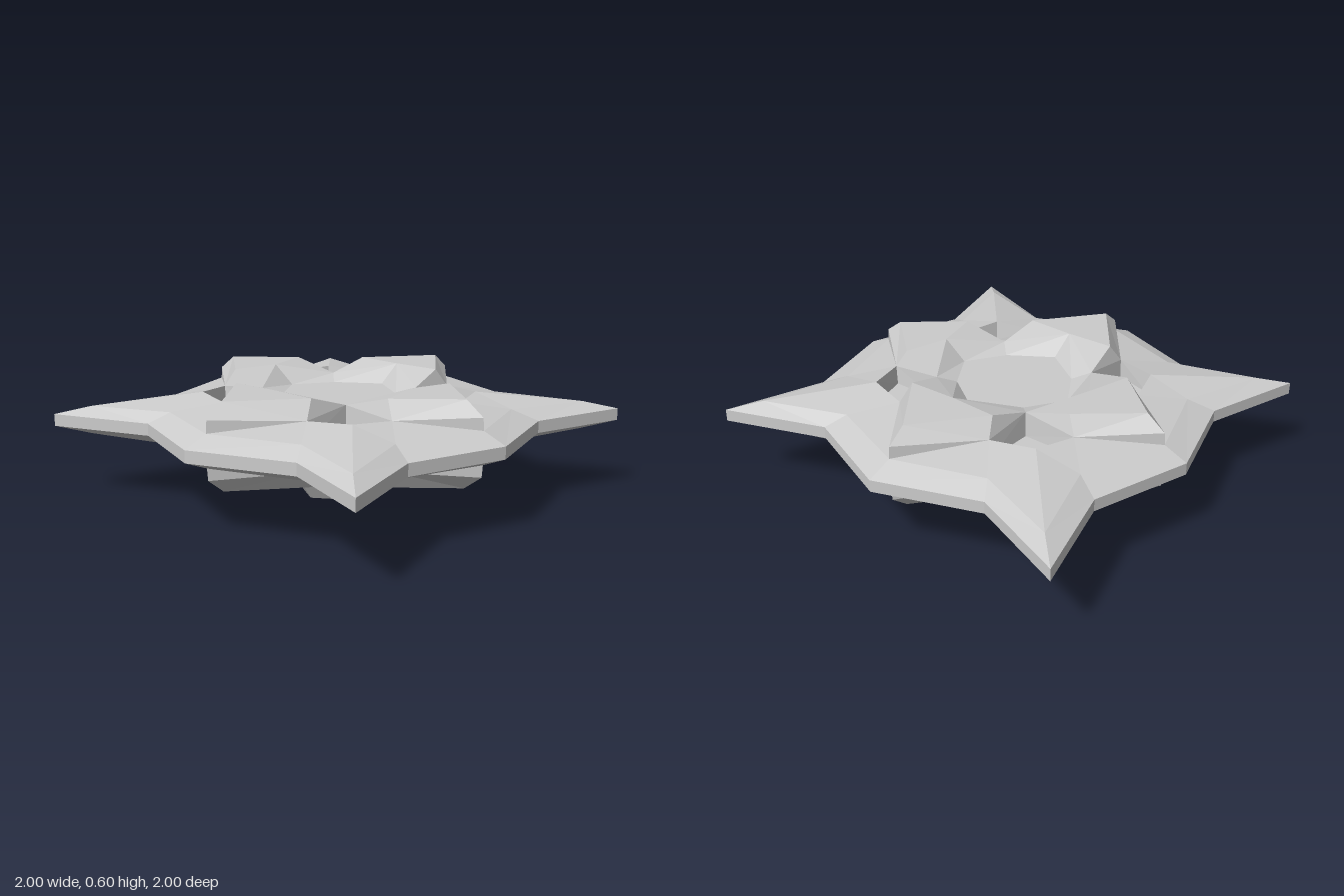
import * as THREE from 'three';

const MID = 0.39; // height of the mirror plane between upper and lower halves

// Corner points of one upper quadrant (+x, +z)
const P = {
  // rim outline
  rimX: [1, 0.42, 0], notchX: [0.81, 0.42, 0.5], spike: [1, 0.42, 1], notchZ: [0.5, 0.42, 0.85], rimZ: [0, 0.42, 1],
  // shoulder just inside the rim
  footX: [0.875, 0.47, 0], shX: [0.72, 0.47, 0.44], ridge: [0.87, 0.46, 0.87], shZ: [0.44, 0.47, 0.73], footZ: [0, 0.47, 0.88],
  // pit mouth
  pitX: [0.52, 0.51, 0.28], pitOut: [0.46, 0.52, 0.5], pitZ: [0.26, 0.51, 0.56], pitIn: [0.26, 0.54, 0.28],
  // pit floor
  lowX: [0.51, 0.42, 0.29], lowOut: [0.45, 0.42, 0.49], lowZ: [0.27, 0.42, 0.545], lowIn: [0.27, 0.42, 0.29],
  // raised arms
  noseX: [0.87, 0.53, 0], tipX: [0.78, 0.6, 0], armX: [0.46, 0.6, 0.25],
  noseZ: [0, 0.53, 0.875], tipZ: [0, 0.6, 0.78], armZ: [0.23, 0.6, 0.51],
  // recess in the top
  ringX: [0.45, 0.6, 0], ringZ: [0, 0.6, 0.45],
  bedX: [0.33, 0.51, 0], bedD: [0.19, 0.51, 0.21], bedZ: [0, 0.51, 0.33], bedC: [0, 0.51, 0],
  // hub on the underside, given as if it were on top
  hubX: [0.3, 0.63, 0], hubD: [0.17, 0.58, 0.18], hubZ: [0, 0.63, 0.3],
  endX: [0.21, 0.765, 0], endD: [0.125, 0.765, 0.135], endZ: [0, 0.765, 0.21], endC: [0, 0.78, 0],
};

const hull = [
  'rimX footX shX', 'rimX shX notchX', 'notchX shX ridge', 'notchX ridge spike',
  'spike ridge notchZ', 'ridge shZ notchZ', 'notchZ shZ rimZ', 'shZ footZ rimZ',
  'footX pitX shX', 'pitX pitOut shX', 'shX pitOut ridge',
  'ridge pitOut shZ', 'pitOut pitZ shZ', 'pitZ footZ shZ',
];
const pits = [
  'pitX pitOut lowOut lowX', 'pitOut pitZ lowZ lowOut', 'pitZ pitIn lowIn lowZ',
  'pitIn pitX lowX lowIn', 'lowX lowOut lowZ lowIn',
];
const armSides = [
  'noseX footX pitX', 'tipX noseX pitX armX', 'armX pitX pitIn',
  'noseZ footZ pitZ', 'tipZ noseZ pitZ armZ', 'armZ pitZ pitIn',
];
const upperArms = [...armSides, 'tipX armX ringX', 'armX pitIn ringX', 'tipZ armZ ringZ', 'armZ pitIn ringZ'];
const lowerArms = [
  ...armSides, 'tipX armX hubX', 'armX pitIn hubX', 'pitIn hubD hubX',
  'tipZ armZ hubZ', 'armZ pitIn hubZ', 'pitIn hubD hubZ',
];
const recess = [
  'ringX pitIn bedD bedX', 'pitIn ringZ bedZ bedD', 'bedC bedX bedD', 'bedC bedD bedZ',
];
const hub = [
  'hubX hubD endD endX', 'hubD hubZ endZ endD', 'endC endX endD', 'endC endD endZ',
];

const material = new THREE.MeshStandardMaterial({ color: 0xcccccc, flatShading: true });

// Adds a triangle to all four quadrants, reversing its order where mirrored
function mirrorTriangle(out, tri, sy) {
  for (const sx of [1, -1]) for (const sz of [1, -1]) {
    const order = sx * sy * sz > 0 ? [0, 1, 2] : [0, 2, 1];
    for (const i of order) {
      const p = tri[i];
      out.push(sx * p[0], MID + sy * (p[1] - MID), sz * p[2]);
    }
  }
}

function makeMesh(name, positions) {
  const geometry = new THREE.BufferGeometry();
  geometry.setAttribute('position', new THREE.Float32BufferAttribute(positions, 3));
  geometry.computeVertexNormals();
  const mesh = new THREE.Mesh(geometry, material);
  mesh.name = name;
  return mesh;
}

// Builds a part from quadrant polygons; side is 1 for upper, -1 for lower
function facetPart(name, polygons, side) {
  const out = [];
  for (const polygon of polygons) {
    const pts = polygon.split(' ').map((key) => P[key]);
    for (let i = 1; i < pts.length - 1; i++) {
      const [a, b, c] = [pts[0], pts[i], pts[i + 1]];
      // every facet faces away from the mid plane
      const ny = (b[2] - a[2]) * (c[0] - a[0]) - (b[0] - a[0]) * (c[2] - a[2]);
      mirrorTriangle(out, ny >= 0 ? [a, b, c] : [a, c, b], side);
    }
  }
  return makeMesh(name, out);
}

// Upright band around the star-shaped outline
function rimBand() {
  const out = [];
  const path = ['rimX', 'notchX', 'spike', 'notchZ', 'rimZ'].map((key) => P[key]);
  const lower = ([x, y, z]) => [x, 2 * MID - y, z];
  for (let i = 0; i < path.length - 1; i++) {
    const a = path[i], b = path[i + 1];
    mirrorTriangle(out, [a, b, lower(b)], 1);
    mirrorTriangle(out, [a, lower(b), lower(a)], 1);
  }
  return makeMesh('rim', out);
}

export function createModel() {
  const group = new THREE.Group();
  group.name = 'starShapedCraft';
  group.add(
    rimBand(),
    facetPart('upperHull', hull, 1),
    facetPart('lowerHull', hull, -1),
    facetPart('upperPits', pits, 1),
    facetPart('lowerPits', pits.map((s) => s), -1),
    facetPart('upperArms', upperArms, 1),
    facetPart('lowerArms', lowerArms, -1),
    facetPart('topRecess', recess, 1),
    facetPart('bottomHub', hub, -1),
  );
  return group;
}
